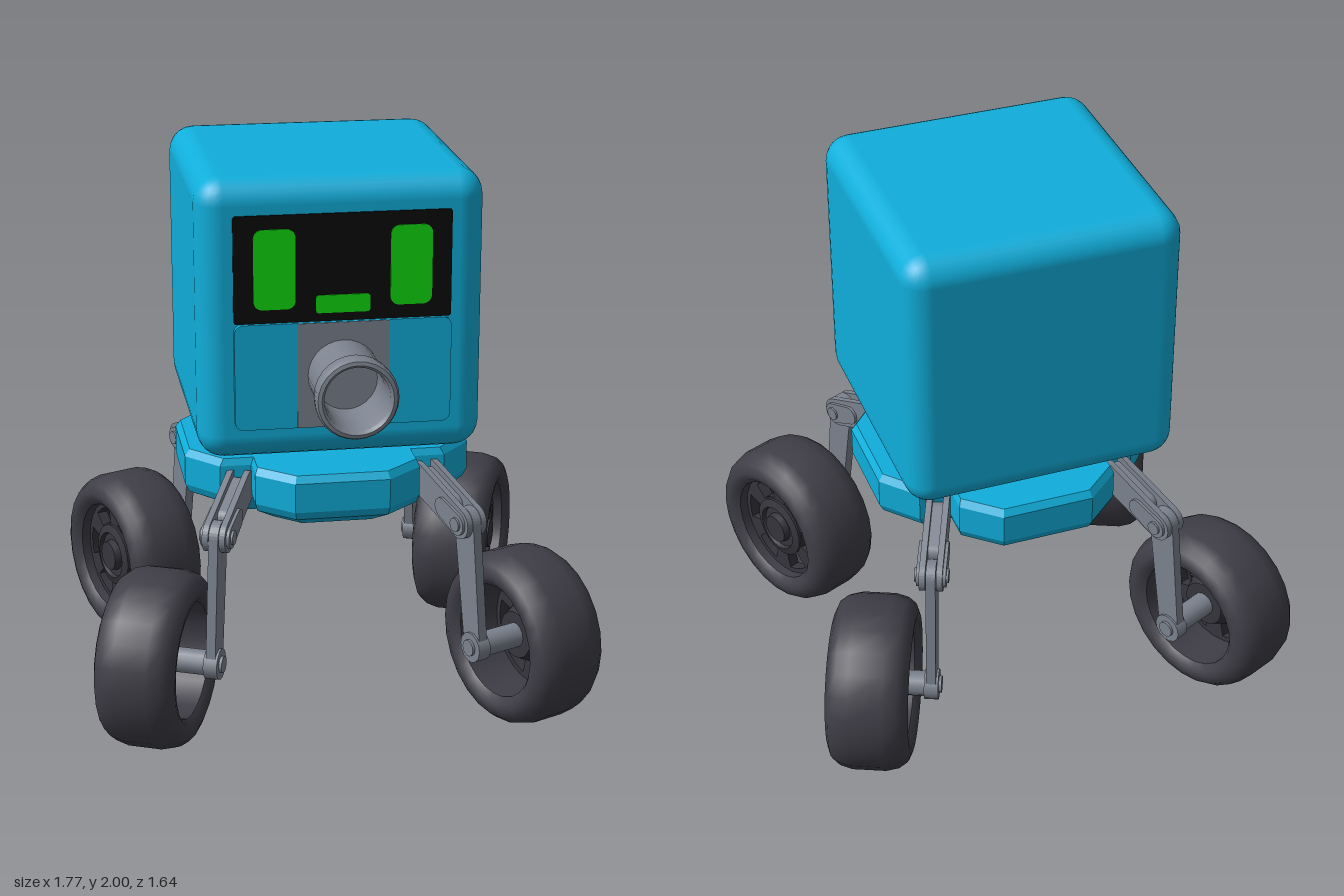
import * as THREE from 'three';
import { toCreasedNormals } from 'three/addons/utils/BufferGeometryUtils.js';
import { RoundedBoxGeometry } from 'three/addons/geometries/RoundedBoxGeometry.js';

const material = (name, color) => {
  const m = new THREE.MeshStandardMaterial({ color });
  m.name = name;
  return m;
};

const add = (parent, name, geometry, mat, x = 0, y = 0, z = 0) => {
  const mesh = new THREE.Mesh(geometry, mat);
  mesh.name = name;
  mesh.position.set(x, y, z);
  parent.add(mesh);
  return mesh;
};

const lathe = (points, sides, crease = 0.6) =>
  toCreasedNormals(new THREE.LatheGeometry(points.map(p => new THREE.Vector2(...p)), sides), crease);

// flat plate with rounded corners, its back at z = 0
function plate(w, h, r, depth) {
  const s = new THREE.Shape(), x = w / 2, y = h / 2, q = Math.PI / 2;
  s.absarc(x - r, y - r, r, 0, q);
  s.absarc(-x + r, y - r, r, q, 2 * q);
  s.absarc(-x + r, -y + r, r, 2 * q, 3 * q);
  s.absarc(x - r, -y + r, r, 3 * q, 4 * q);
  return new THREE.ExtrudeGeometry(s, { depth, bevelEnabled: false, curveSegments: 4 });
}

// tapered round-ended bar in the z-y plane, centred on x = 0
function link([z0, y0, r0], [z1, y1, r1], thick) {
  const a = Math.atan2(y1 - y0, z1 - z0), q = Math.PI / 2;
  const s = new THREE.Shape();
  s.absarc(z0, y0, r0, a + q, a + 3 * q);
  s.absarc(z1, y1, r1, a - q, a + q);
  const g = new THREE.ExtrudeGeometry(s, { depth: thick, bevelEnabled: false, curveSegments: 8 });
  return g.translate(0, 0, -thick / 2).rotateY(-Math.PI / 2);
}

// chassis: octagon with a square notch at each corner, tapered below
function chassisGeometry() {
  const quadrant = [[0.51, 0.165], [0.40, 0.29], [0.29, 0.29], [0.29, 0.40], [0.165, 0.51]];
  const outline = [];
  for (let k = 0; k < 4; k++) {
    for (const [x, z] of quadrant) {
      outline.push([[x, z], [-z, x], [-x, -z], [z, -x]][k]);
    }
  }
  const levels = [[0.74, 0.74], [0.80, 0.97], [0.83, 1], [0.935, 1], [0.96, 0.965]];
  const pos = [], n = outline.length;
  const at = (l, i) => {
    const [x, z] = outline[i % n], [y, s] = levels[l];
    return [x * s, y, z * s];
  };
  const top = levels.length - 1;
  for (let i = 0; i < n; i++) {
    for (let l = 0; l < top; l++) {
      const a = at(l, i), b = at(l, i + 1), c = at(l + 1, i + 1), d = at(l + 1, i);
      pos.push(...a, ...c, ...b, ...a, ...d, ...c);
    }
    pos.push(0, levels[top][0], 0, ...at(top, i + 1), ...at(top, i));
    pos.push(0, levels[0][0], 0, ...at(0, i), ...at(0, i + 1));
  }
  const g = new THREE.BufferGeometry();
  g.setAttribute('position', new THREE.Float32BufferAttribute(pos, 3));
  g.computeVertexNormals();
  return g;
}

// spoked disc lying in the x-z plane
function spokeDisc(count) {
  const s = new THREE.Shape();
  s.absarc(0, 0, 0.22, 0, Math.PI * 2);
  for (let i = 0; i < count; i++) {
    const a = i * 2 * Math.PI / count + Math.PI / 2, half = Math.PI / count * 0.56;
    const hole = new THREE.Path();
    hole.absarc(0, 0, 0.185, a - half, a + half);
    hole.absarc(0, 0, 0.125, a + half, a - half, true);
    hole.closePath();
    s.holes.push(hole);
  }
  const g = new THREE.ExtrudeGeometry(s, { depth: 0.04, bevelEnabled: false, curveSegments: 10 });
  return g.translate(0, 0, -0.02).rotateX(-Math.PI / 2);
}

// wheel with its axle along y, outer side at +y
function createWheel(mat) {
  const wheel = new THREE.Group();
  wheel.name = 'wheel';
  add(wheel, 'tire', lathe([
    [0.205, -0.12], [0.225, -0.14], [0.25, -0.145], [0.282, -0.132], [0.303, -0.105], [0.315, -0.06],
    [0.315, 0.06], [0.303, 0.105], [0.282, 0.132], [0.25, 0.145], [0.225, 0.14], [0.205, 0.12],
    [0.205, -0.12]], 24), mat.rubber);
  add(wheel, 'spokes', spokeDisc(6), mat.rim, 0, 0.065, 0);
  add(wheel, 'hub', lathe([
    [0, -0.03], [0.085, -0.03], [0.12, 0.04], [0.12, 0.095], [0.09, 0.105],
    [0.085, 0.09], [0.06, 0.09], [0.055, 0.115], [0, 0.115]], 20), mat.rim);
  return wheel;
}

// leg and wheel for one corner
function createLeg(sx, sz, mat) {
  const leg = new THREE.Group();
  leg.name = (sz > 0 ? 'front' : 'back') + (sx > 0 ? 'Left' : 'Right') + 'Leg';
  leg.position.set(sx * 0.33, 0, sz * 0.29);
  leg.rotation.y = Math.atan2(sx * 0.41, sz * 0.91);
  const out = sx * sz;   // local x direction pointing away from the body
  const hip = [0.01, 0.865], knee = [0.26, 0.77], foot = [0.322, 0.32];
  const pin = (name, r, x0, x1, [z, y]) => add(leg, name,
    new THREE.CylinderGeometry(r, r, Math.abs(x1 - x0), 14).rotateZ(Math.PI / 2),
    mat.metal, out * (x0 + x1) / 2, y, z);

  for (const s of [-1, 1]) {
    add(leg, 'upperArm', link([...hip, 0.055], [...knee, 0.055], 0.022), mat.metal, s * 0.03);
    add(leg, 'kneePlate', link([0.17, 0.804, 0.035], [...knee, 0.04], 0.012), mat.metal, s * 0.046);
  }
  add(leg, 'armWeb', link([0.02, 0.86, 0.035], [0.17, 0.804, 0.035], 0.045), mat.metal);
  add(leg, 'lowerLeg', link([...knee, 0.055], [...foot, 0.045], 0.034), mat.metal);
  pin('kneePin', 0.025, -0.06, 0.06, knee);
  pin('footJoint', 0.055, -0.025, 0.025, foot);
  pin('footPin', 0.03, -0.035, 0, foot);
  pin('axle', 0.045, 0, 0.19, foot);

  const wheel = createWheel(mat);
  wheel.position.set(out * 0.205, foot[1], foot[0]);
  wheel.rotation.z = -out * Math.PI / 2;
  leg.add(wheel);
  return leg;
}

export function createModel() {
  const mat = {
    shell: material('blue shell', 0x10aedb),
    metal: material('grey metal', 0x7c838f),
    rubber: material('dark rubber', 0x3f3e47),
    rim: material('dark rim', 0x35353c),
    screen: material('black screen', 0x0a0a0a),
    light: material('green light', 0x0fda10),
  };
  const model = new THREE.Group();
  model.name = 'robot';

  // head
  const head = new THREE.Group();
  head.name = 'head';
  model.add(head);
  add(head, 'headShell', new RoundedBoxGeometry(0.98, 0.98, 0.98, 3, 0.09), mat.shell, 0, 1.51, 0);
  add(head, 'screen', plate(0.74, 0.37, 0.01, 0.008), mat.screen, 0, 1.695, 0.488);
  for (const s of [-1, 1]) {
    add(head, 'eye', plate(0.142, 0.275, 0.03, 0.005), mat.light, s * 0.232, 1.695, 0.495);
  }
  add(head, 'mouth', plate(0.184, 0.062, 0.01, 0.005), mat.light, 0, 1.57, 0.495);
  add(head, 'facePanel', plate(0.74, 0.37, 0.03, 0.03), mat.shell, 0, 1.325, 0.48);
  add(head, 'panelCentre', plate(0.315, 0.368, 0.002, 0.006), mat.metal, 0, 1.325, 0.508);

  // hollow nozzle with a flared mouth
  add(head, 'nozzle', lathe([
    [0.122, 0], [0.122, 0.17], [0.126, 0.195], [0.137, 0.22], [0.14, 0.25], [0.14, 0.27],
    [0.133, 0.285], [0.12, 0.288], [0.11, 0.275], [0.105, 0.2], [0.105, 0.06], [0, 0.06]], 28),
    mat.metal, 0, 1.325, 0.512).rotation.x = Math.PI / 2;

  // neck and chassis
  add(model, 'neck', new THREE.CylinderGeometry(0.235, 0.235, 0.12, 32), mat.metal, 0, 0.99, 0);
  add(model, 'chassis', chassisGeometry(), mat.shell);

  for (const sx of [-1, 1]) for (const sz of [-1, 1]) model.add(createLeg(sx, sz, mat));
  return model;
}
